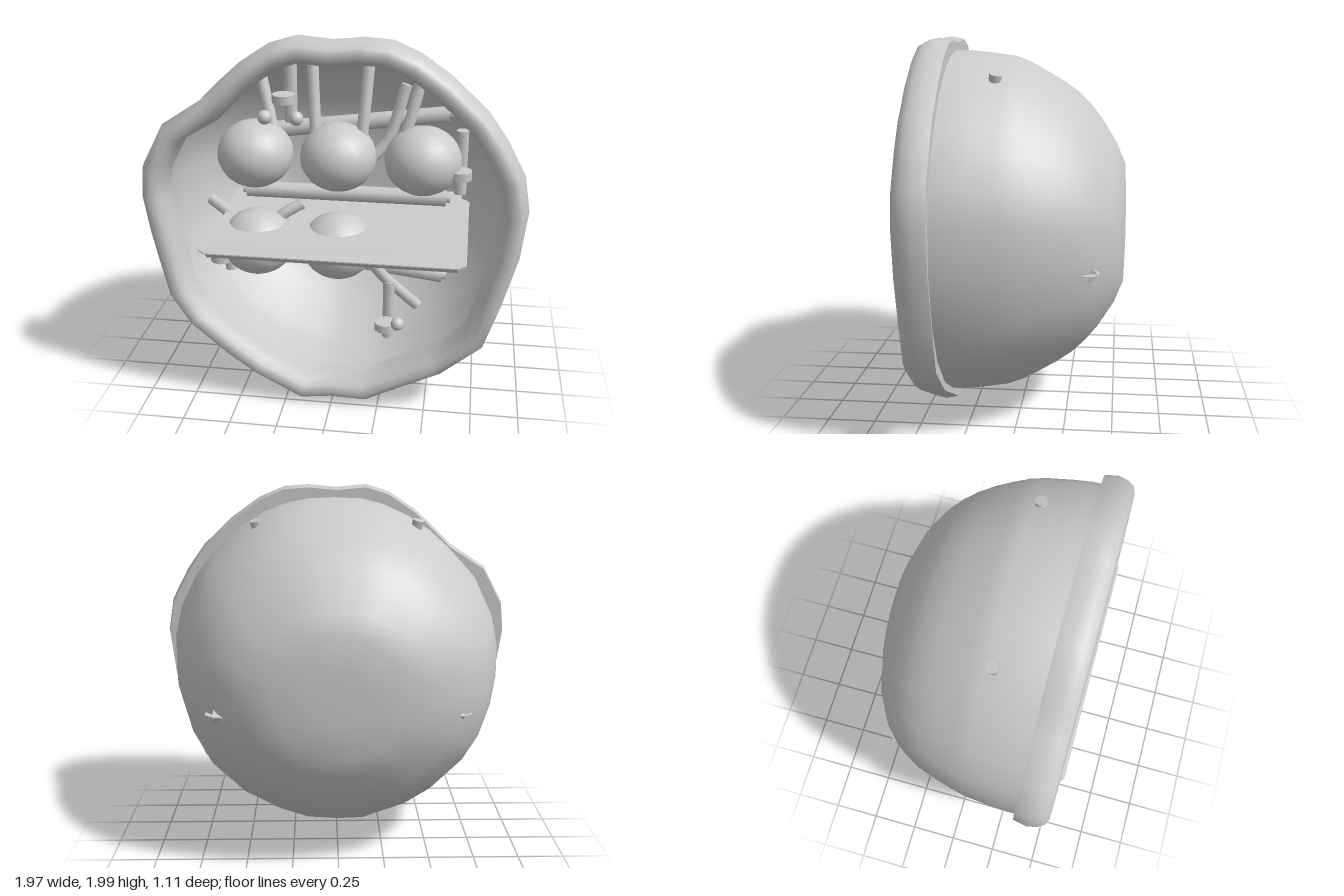
import * as THREE from 'three';

const grey = new THREE.MeshStandardMaterial({ color: 0xcccccc });
const greyDouble = new THREE.MeshStandardMaterial({ color: 0xcccccc, side: THREE.DoubleSide });

// Wobbly opening, counter-clockwise from the top: x, y
const outline = [
  [-0.17, 2.0], [-0.3, 1.96], [-0.45, 1.86], [-0.56, 1.76], [-0.66, 1.66], [-0.86, 1.53], [-0.97, 1.32],
  [-0.985, 1.16], [-0.955, 0.96], [-0.92, 0.79], [-0.875, 0.59], [-0.775, 0.43], [-0.57, 0.25], [-0.415, 0.14],
  [-0.165, 0.01], [0, 0.03], [0.19, 0.025], [0.36, 0.11], [0.585, 0.22], [0.8, 0.4], [0.875, 0.625],
  [0.95, 0.9], [0.98, 1.16], [0.95, 1.345], [0.855, 1.525], [0.76, 1.66], [0.59, 1.82], [0.435, 1.93],
  [0.295, 1.99], [0.155, 2.0], [0, 1.985],
];

// Outline pulled towards the centre by a distance
function inset([x, y], d) {
  const r = Math.hypot(x, y - 1);
  return [x * (1 - d / r), 1 + (y - 1) * (1 - d / r)];
}

// Skin over a stack of closed rings
function loft(rings) {
  const n = rings[0].length, index = [];
  for (let i = 0; i < rings.length - 1; i++) {
    for (let j = 0; j < n; j++) {
      const l = (j + 1) % n;
      const a = i * n + j, b = i * n + l, c = a + n, d = b + n;
      index.push(a, c, b, b, c, d);
    }
  }
  const g = new THREE.BufferGeometry();
  g.setAttribute('position', new THREE.Float32BufferAttribute(rings.flat(2), 3));
  g.setIndex(index);
  g.computeVertexNormals();
  return g;
}

const toShape = (points) => new THREE.Shape(points.map(([x, y]) => new THREE.Vector2(x, y)));

export function createModel() {
  const model = new THREE.Group();
  const add = (name, geometry, material = grey, parent = model) => {
    const mesh = new THREE.Mesh(geometry, material);
    mesh.name = name;
    parent.add(mesh);
    return mesh;
  };

  // Bowl, rounder than the rim: z, scale in x, scale in y, shift in x
  const profile = [
    [0.42, 1, 1, 0.012], [0.3, 1, 1, 0.01], [0.2, 0.99, 0.99, 0.005], [0.06, 0.968, 0.968, 0], [-0.02, 0.947, 0.935, 0],
    [-0.12, 0.91, 0.875, -0.005], [-0.2, 0.875, 0.825, -0.01], [-0.28, 0.825, 0.765, -0.012], [-0.35, 0.77, 0.69, -0.012],
    [-0.41, 0.705, 0.61, -0.01], [-0.495, 0.55, 0.465, 0], [-0.543, 0.37, 0.345, 0], [-0.55, 0.15, 0.15, 0], [-0.55, 0, 0, 0],
  ];
  add('bowl', loft(profile.map(([z, kx, ky, dx]) => outline.map(([x, y]) => {
    const a = Math.atan2(y - 1, x);
    const r = 0.922 + 0.2 * (Math.hypot(x, y - 1) - 0.975);
    return [dx + r * kx * Math.cos(a), 1.008 + r * ky * Math.sin(a), z];
  }))), greyDouble);

  // Rim: rounded in front, flat behind (inset, z)
  const rimRing = ([d, z]) => outline.map((p) => [...inset(p, d), z]);
  const rimFront = [
    [0.13, 0.355], [0.132, 0.43], [0.122, 0.485], [0.1, 0.517], [0.066, 0.53],
    [0.035, 0.517], [0.012, 0.48], [0, 0.425], [0.014, 0.355],
  ];
  add('rim', loft(rimFront.map(rimRing)));
  add('rimBack', loft([rimFront[8], rimFront[0]].map(rimRing)));

  // Round bodies in two rows
  for (const [x, y] of [[-0.44, 1.32], [0, 1.32], [0.44, 1.32], [-0.44, 0.815], [0, 0.815]]) {
    const body = add('roundBody', new THREE.SphereGeometry(1, 20, 14));
    body.scale.set(0.2, 0.18, 0.2);
    body.position.set(x, y, 0.2);
  }

  // Shelf with bevelled front and back
  const section = toShape([
    [-0.55, 0], [-0.5, 0.045], [0.375, 0.045], [0.425, 0], [0.375, -0.045], [-0.5, -0.045],
  ]);
  const slab = new THREE.ExtrudeGeometry(section, { depth: 1.29, bevelEnabled: false });
  slab.translate(0, 0, -0.645).rotateY(Math.PI / 2);
  add('shelf', slab).position.y = 0.885;

  // Thin sheet through the shelf, its corners cut off
  const plan = toShape([
    [-0.645, -0.555], [0.645, -0.555], [0.69, -0.51], [0.69, 0.385], [0.645, 0.425],
    [-0.645, 0.425], [-0.69, 0.385], [-0.69, -0.51],
  ]);
  const sheet = new THREE.ExtrudeGeometry(plan, { depth: 0.006, bevelEnabled: false });
  add('shelfSheet', sheet.rotateX(-Math.PI / 2)).position.y = 0.882;

  // Long cross bars with a thinner core showing at the ends
  for (const [y, tilt] of [[1.415, 0.13], [1.005, 0], [0.6, -0.117]]) {
    const bar = new THREE.Group();
    bar.name = 'crossBar';
    for (const [r, length] of [[0.045, 1.12], [0.024, 1.165]]) {
      add('barPart', new THREE.CylinderGeometry(r, r, length, 10).rotateZ(Math.PI / 2), grey, bar);
    }
    bar.position.set(0, y, -0.08);
    bar.rotation.z = tilt;
    model.add(bar);
  }

  // Rods growing out of the round bodies
  const rod = (...points) => {
    const curve = new THREE.CatmullRomCurve3(points.map((p) => new THREE.Vector3(...p)));
    add('rod', new THREE.TubeGeometry(curve, 10, 0.031, 10));
    for (const [t, s] of [[0, -1], [1, 1]]) {
      const cap = add('rodCap', new THREE.CircleGeometry(0.031, 10));
      cap.position.copy(curve.getPoint(t));
      cap.lookAt(cap.position.clone().addScaledVector(curve.getTangent(t), s));
    }
  };
  for (const s of [-1, 1]) {
    rod([s * 0.34, 1.42, 0.18], [s * 0.39, 1.62, 0.14], [s * 0.44, 1.83, 0.1]);
    rod([s * 0.12, 1.42, 0.18], [s * 0.135, 1.62, 0.14], [s * 0.148, 1.82, 0.1]);
  }
  rod([0.12, 1.24, 0.1], [0.24, 1.37, 0.06], [0.335, 1.67, 0.02]);
  rod([-0.5, 0.86, 0.16], [-0.62, 0.91, 0.08], [-0.75, 0.96, 0]);
  rod([-0.4, 0.87, 0.16], [-0.31, 0.955, 0.14], [-0.21, 1.01, 0.11]);
  rod([0.1, 0.82, 0.16], [0.22, 0.6, 0.08], [0.42, 0.375, 0]);

  // Upright posts, each with a separate disc in front of it
  for (const [x, y, length] of [[-0.27, 1.64, 0.36], [0.635, 1.275, 0.35], [-0.635, 0.735, 0.33], [0.267, 0.375, 0.35]]) {
    add('post', new THREE.CylinderGeometry(0.034, 0.034, length, 10)).position.set(x, y, 0.07);
    add('disc', new THREE.CylinderGeometry(0.06, 0.06, 0.045, 10)).position.set(x, y, 0.26);
  }

  // Small beads
  for (const [x, y, z] of [[-0.34, 1.58, 0.4], [-0.18, 1.58, 0.4], [0.34, 0.445, 0.36]]) {
    add('bead', new THREE.SphereGeometry(0.036, 14, 10)).position.set(x, y, z);
  }
  return model;
}
